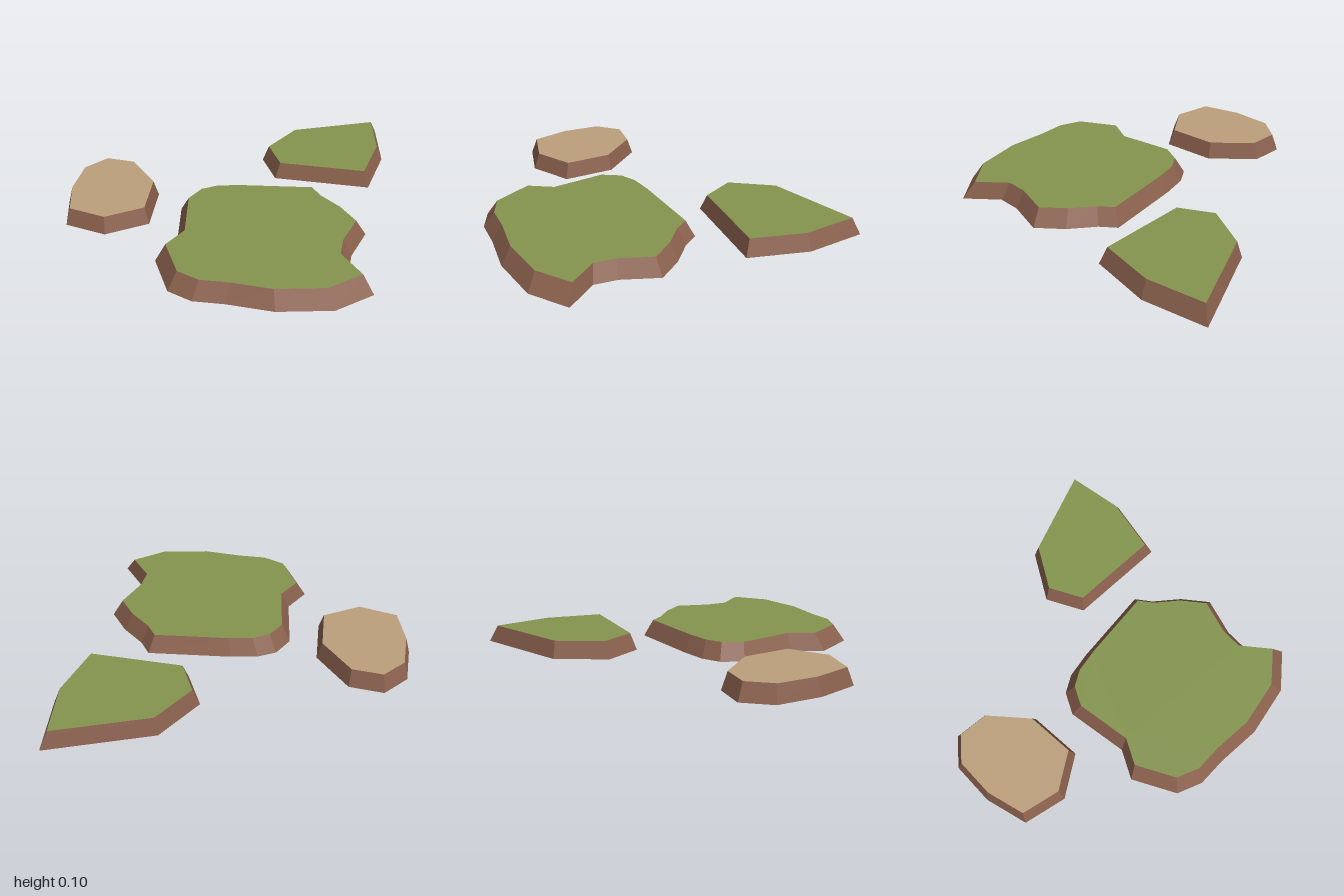
import * as THREE from 'three';

const HEIGHT = 0.096;
const TOP_SCALE = 0.898;

const material = (name, color) => {
  const m = new THREE.MeshStandardMaterial({ color, side: THREE.DoubleSide, flatShading: true });
  m.name = name;
  return m;
};

// Footprints as [x, z], clockwise seen from above; each top shrinks towards its centre
const PATCHES = [
  {
    name: 'largeGrassPatch', surface: 'grass', centre: [0.09, 0.25],
    outline: [
      [-0.25, -0.19], [-0.14, -0.22], [0.01, -0.21], [0.47, -0.14], [0.51, -0.04], [0.61, 0.10],
      [0.68, 0.26], [0.56, 0.45], [0.52, 0.58], [0.61, 0.78], [0.39, 0.88], [0.09, 0.86],
      [-0.15, 0.78], [-0.32, 0.74], [-0.44, 0.65], [-0.50, 0.39], [-0.38, 0.26], [-0.34, -0.09],
    ],
  },
  {
    name: 'smallGrassPatch', surface: 'grass', centre: [0.57, -0.57],
    outline: [[0.42, -0.82], [1, -0.885], [0.96, -0.53], [0.80, -0.21], [0.25, -0.37], [0.20, -0.60]],
  },
  {
    name: 'sandPatch', surface: 'sand', centre: [-0.74, -0.22],
    outline: [
      [-0.78, -0.585], [-0.60, -0.52], [-0.47, -0.255], [-0.53, 0.045],
      [-0.78, 0.125], [-1, 0.01], [-1, -0.24], [-0.93, -0.48],
    ],
  },
];

// Flat top face
function topGeometry(points) {
  const shape = new THREE.Shape(points.map(([x, z]) => new THREE.Vector2(x, -z)));
  return new THREE.ShapeGeometry(shape).rotateX(-Math.PI / 2).translate(0, HEIGHT, 0);
}

// Sloping band between the ground outline and the top outline, open underneath
function bankGeometry(base, top) {
  const positions = [];
  base.forEach((a, i) => {
    const j = (i + 1) % base.length;
    const a0 = [a[0], 0, a[1]], b0 = [base[j][0], 0, base[j][1]];
    const a1 = [top[i][0], HEIGHT, top[i][1]], b1 = [top[j][0], HEIGHT, top[j][1]];
    positions.push(...b0, ...a0, ...a1, ...b0, ...a1, ...b1);
  });
  const geometry = new THREE.BufferGeometry();
  geometry.setAttribute('position', new THREE.Float32BufferAttribute(positions, 3));
  geometry.computeVertexNormals();
  return geometry;
}

export function createModel() {
  const materials = {
    grass: material('grass green', 0x84954f),
    sand: material('sand tan', 0xbb9f7b),
    soil: material('soil brown', 0x8a604d),
  };
  const model = new THREE.Group();
  model.name = 'groundPatches';

  for (const { name, surface, centre, outline } of PATCHES) {
    const top = outline.map((p) => p.map((v, k) => centre[k] + (v - centre[k]) * TOP_SCALE));
    const patch = new THREE.Group();
    patch.name = name;
    const cap = new THREE.Mesh(topGeometry(top), materials[surface]);
    cap.name = surface + 'Top';
    const bank = new THREE.Mesh(bankGeometry(outline, top), materials.soil);
    bank.name = 'soilBank';
    patch.add(cap, bank);
    model.add(patch);
  }
  return model;
}
